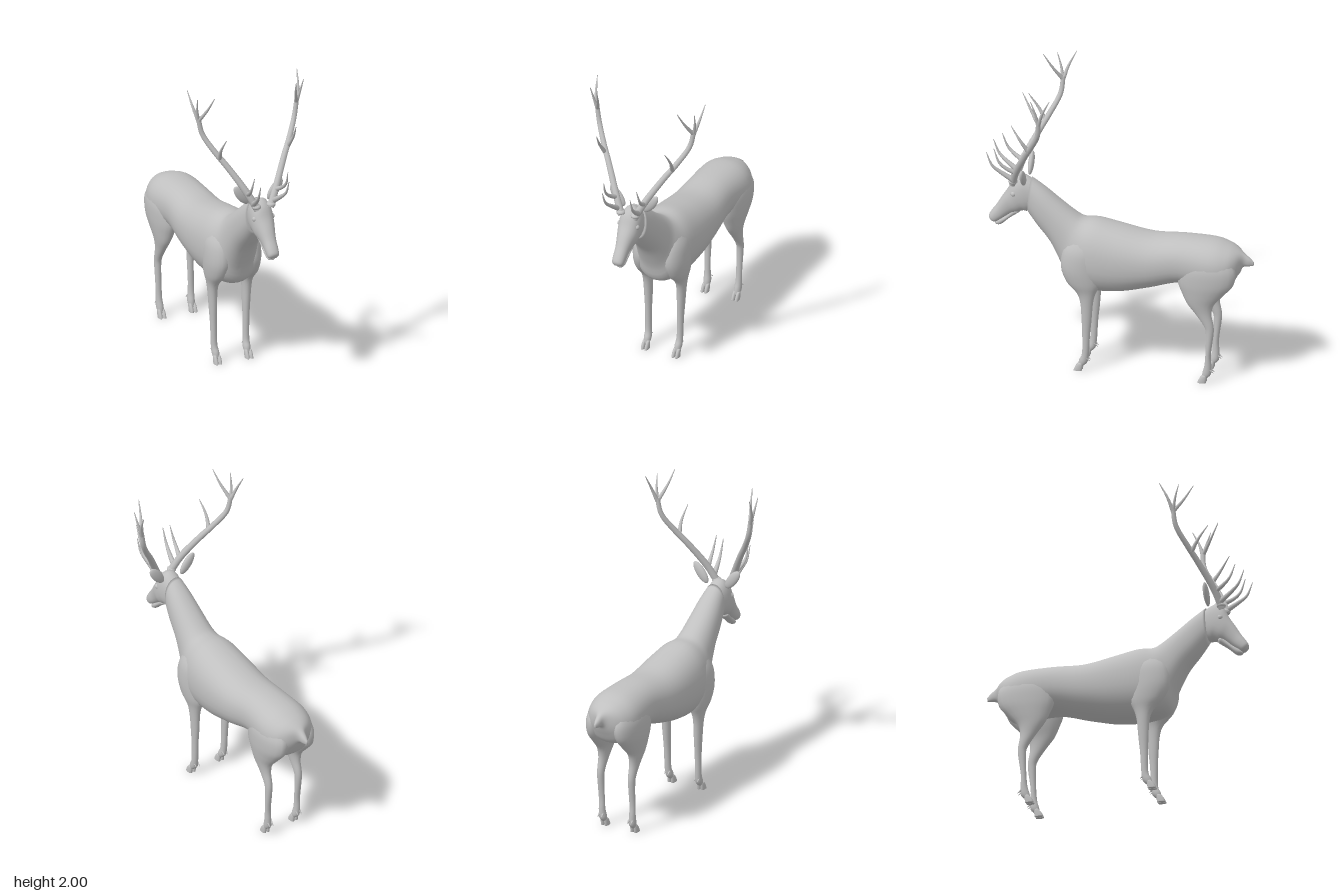
import * as THREE from 'three';

const hide = new THREE.MeshStandardMaterial({ color: 0xc0c0c0 });
hide.name = 'pale grey';

// Smooth skin through oval cross-sections.
// Station: [z, y of upper/front edge, z, y of lower/back edge, half width, centre x]
function loft(stations, sub = 4, sides = 24, power = 0.9) {
  const rings = [];
  const last = stations.length - 1;
  const at = (i, k) => stations[Math.max(0, Math.min(last, i))][k] ?? 0;
  for (let s = 0; s <= last * sub; s++) {
    const i = Math.min(Math.floor(s / sub), last - 1);
    const t = s / sub - i;
    const ring = [];
    for (let k = 0; k < 6; k++) {
      const [a, b, c, d] = [at(i - 1, k), at(i, k), at(i + 1, k), at(i + 2, k)];
      ring.push(b + 0.5 * t * (c - a + t * (2 * a - 5 * b + 4 * c - d + t * (3 * (b - c) + d - a))));
    }
    rings.push(ring);
  }
  const pos = [], index = [];
  const round = (v) => Math.sign(v) * Math.abs(v) ** power;
  for (const [z1, y1, z2, y2, w, x] of rings) {
    for (let j = 0; j < sides; j++) {
      const a = (j / sides) * Math.PI * 2;
      const c = round(Math.cos(a)) / 2;
      pos.push(x + w * round(Math.sin(a)), (y1 + y2) / 2 + c * (y1 - y2), (z1 + z2) / 2 + c * (z1 - z2));
    }
  }
  const n = rings.length;
  for (let i = 0; i < n - 1; i++) {
    for (let j = 0; j < sides; j++) {
      const k = (j + 1) % sides;
      const a = i * sides + j, b = i * sides + k;
      index.push(a, a + sides, b, b, a + sides, b + sides);
    }
  }
  // end caps
  for (const i of [0, n - 1]) {
    const [z1, y1, z2, y2, , x] = rings[i];
    const centre = pos.length / 3;
    pos.push(x, (y1 + y2) / 2, (z1 + z2) / 2);
    for (let j = 0; j < sides; j++) {
      const a = i * sides + j, b = i * sides + (j + 1) % sides;
      if (i === 0) index.push(centre, a, b);
      else index.push(centre, b, a);
    }
  }
  const g = new THREE.BufferGeometry();
  g.setAttribute('position', new THREE.Float32BufferAttribute(pos, 3));
  g.setIndex(index);
  g.computeVertexNormals();
  return g;
}

// Tapered round branch along a smooth path
function branch(points, r0, r1, side) {
  const curve = new THREE.CatmullRomCurve3(points.map(([x, y, z]) => new THREE.Vector3(x * side, y, z)));
  const n = points.length * 5, radial = 10;
  const g = new THREE.TubeGeometry(curve, n, 1, radial, false);
  const p = g.attributes.position, v = new THREE.Vector3();
  for (let i = 0; i <= n; i++) {
    const c = curve.getPointAt(i / n);
    const r = r0 + (r1 - r0) * (i / n);
    for (let j = 0; j <= radial; j++) {
      const k = i * (radial + 1) + j;
      v.fromBufferAttribute(p, k).sub(c).multiplyScalar(r).add(c);
      p.setXYZ(k, v.x, v.y, v.z);
    }
  }
  return g;
}

// Tail tip, trunk, neck and head as one skin
const bodyStations = [
  [-0.865, 0.825, -0.862, 0.80, 0.006], [-0.84, 0.85, -0.835, 0.795, 0.018],
  [-0.80, 0.88, -0.795, 0.785, 0.035], [-0.755, 0.91, -0.765, 0.73, 0.10],
  [-0.70, 0.935, -0.71, 0.65, 0.15], [-0.60, 0.96, -0.60, 0.63, 0.175],
  [-0.40, 0.965, -0.40, 0.655, 0.165], [-0.20, 0.955, -0.20, 0.60, 0.18],
  [0, 0.99, 0, 0.55, 0.19], [0.15, 1.02, 0.20, 0.54, 0.183],
  [0.24, 1.02, 0.34, 0.58, 0.155], [0.30, 1.05, 0.385, 0.70, 0.125],
  [0.40, 1.125, 0.455, 0.84, 0.105], [0.50, 1.205, 0.54, 0.945, 0.09],
  [0.585, 1.265, 0.60, 1.025, 0.072],
];
const headStations = [
  [0.56, 1.24, 0.585, 1.05, 0.06], [0.64, 1.283, 0.61, 1.033, 0.07],
  [0.70, 1.25, 0.635, 1.035, 0.073], [0.737, 1.18, 0.67, 1.022, 0.068],
  [0.775, 1.12, 0.705, 1.01, 0.055], [0.81, 1.06, 0.745, 0.985, 0.045],
  [0.845, 1.01, 0.785, 0.955, 0.042], [0.862, 0.975, 0.815, 0.935, 0.036],
  [0.852, 0.948, 0.832, 0.935, 0.018],
];
const jawStations = [
  [0.70, 1.05, 0.66, 1.02, 0.04], [0.75, 0.99, 0.725, 0.972, 0.034],
  [0.80, 0.955, 0.775, 0.925, 0.03], [0.82, 0.935, 0.80, 0.916, 0.022],
  [0.825, 0.925, 0.815, 0.918, 0.01],
];
// Legs run from inside the trunk down to the pastern
const frontLeg = [
  [0.30, 0.93, 0.12, 0.93, 0.04, 0.09], [0.355, 0.84, 0.09, 0.84, 0.075, 0.10],
  [0.37, 0.72, 0.10, 0.72, 0.08, 0.105], [0.33, 0.62, 0.11, 0.62, 0.06, 0.115],
  [0.265, 0.55, 0.14, 0.55, 0.038, 0.12], [0.24, 0.48, 0.157, 0.48, 0.03, 0.12],
  [0.232, 0.36, 0.167, 0.36, 0.025, 0.117], [0.228, 0.25, 0.178, 0.25, 0.021, 0.115],
  [0.23, 0.12, 0.185, 0.12, 0.021, 0.113], [0.25, 0.07, 0.195, 0.06, 0.024, 0.11],
  [0.255, 0.03, 0.225, 0.03, 0.018, 0.11],
];
const hindLeg = [
  [-0.45, 0.90, -0.70, 0.90, 0.05, 0.09], [-0.39, 0.80, -0.765, 0.80, 0.08, 0.097],
  [-0.39, 0.70, -0.755, 0.70, 0.075, 0.105], [-0.42, 0.62, -0.69, 0.62, 0.06, 0.11],
  [-0.455, 0.55, -0.63, 0.55, 0.042, 0.115], [-0.51, 0.48, -0.615, 0.48, 0.03, 0.115],
  [-0.565, 0.40, -0.628, 0.40, 0.024, 0.115], [-0.578, 0.34, -0.628, 0.34, 0.022, 0.115],
  [-0.575, 0.20, -0.61, 0.20, 0.02, 0.114], [-0.568, 0.12, -0.613, 0.12, 0.021, 0.113],
  [-0.555, 0.07, -0.61, 0.06, 0.024, 0.11], [-0.55, 0.03, -0.58, 0.03, 0.018, 0.11],
];
// Antler branches: name, path, start radius, end radius
const antler = [
  ['beam', [[0.045, 1.23, 0.70], [0.10, 1.34, 0.665], [0.20, 1.51, 0.58], [0.26, 1.60, 0.53],
    [0.325, 1.72, 0.472], [0.348, 1.83, 0.46]], 0.024, 0.015],
  ['lowerBrowTine', [[0.07, 1.27, 0.69], [0.085, 1.325, 0.77], [0.097, 1.37, 0.82], [0.10, 1.46, 0.858]], 0.019, 0.002],
  ['upperBrowTine', [[0.095, 1.33, 0.66], [0.115, 1.37, 0.73], [0.122, 1.41, 0.77], [0.118, 1.50, 0.805]], 0.017, 0.002],
  ['middleTine', [[0.24, 1.56, 0.55], [0.255, 1.64, 0.60], [0.245, 1.735, 0.663]], 0.015, 0.002],
  ['rearTopTine', [[0.347, 1.81, 0.46], [0.372, 1.90, 0.43], [0.388, 2.0, 0.38]], 0.014, 0.002],
  ['innerTopTine', [[0.346, 1.81, 0.46], [0.312, 1.90, 0.52], [0.288, 2.0, 0.577]], 0.014, 0.002],
  ['outerTopTine', [[0.347, 1.81, 0.46], [0.365, 1.90, 0.48], [0.375, 1.98, 0.505]], 0.012, 0.002],
];

export function createModel() {
  const model = new THREE.Group();
  model.name = 'stag';
  const add = (name, geometry, parent = model) => {
    const mesh = new THREE.Mesh(geometry, hide);
    mesh.name = name;
    parent.add(mesh);
    return mesh;
  };

  add('body', loft(bodyStations, 4, 32));
  add('head', loft(headStations, 4, 24));
  add('lowerJaw', loft(jawStations, 3, 16));

  for (const side of [1, -1]) {
    const label = side > 0 ? 'left' : 'right';

    for (const [name, stations, shift] of [['FrontLeg', frontLeg, 0], ['HindLeg', hindLeg, -0.808]]) {
      const leg = new THREE.Group();
      leg.name = label + name;
      model.add(leg);
      add('limb', loft(stations.map((s) => [...s.slice(0, 5), s[5] * side]), 4, 20, 1), leg);
      // split hoof and dewclaws
      for (const toe of [-1, 1]) {
        const x = side * 0.11 + toe * 0.013;
        add('hoof', loft([
          [0.25, 0.055, 0.222, 0.05, 0.009, x], [0.268, 0.035, 0.224, 0.032, 0.012, x],
          [0.283, 0.004, 0.228, 0.004, 0.013, x], [0.282, 0, 0.229, 0, 0.012, x],
        ].map(([a, b, c, d, w, cx]) => [a + shift, b, c + shift, d, w, cx]), 2, 12), leg);
        const claw = add('dewclaw', new THREE.ConeGeometry(0.008, 0.035, 8), leg);
        claw.position.set(x, 0.082, 0.188 + shift);
        claw.rotation.x = -2.2;
      }
    }

    // ear, a flattened leaf leaning outward
    const ear = add(label + 'Ear', new THREE.SphereGeometry(1, 20, 14));
    ear.scale.set(0.034, 0.08, 0.019);
    ear.position.set(side * 0.118, 1.312, 0.615);
    ear.rotation.z = -side * 0.65;

    const eye = add(label + 'Eye', new THREE.SphereGeometry(0.018, 14, 10));
    eye.position.set(side * 0.06, 1.165, 0.69);

    const horns = new THREE.Group();
    horns.name = label + 'Antler';
    model.add(horns);
    for (const [name, path, r0, r1] of antler) add(name, branch(path, r0, r1, side), horns);
    // burr at the antler root
    const burr = add('burr', new THREE.SphereGeometry(0.03, 14, 10), horns);
    burr.scale.y = 0.6;
    burr.position.set(side * 0.052, 1.25, 0.695);
  }
  return model;
}
